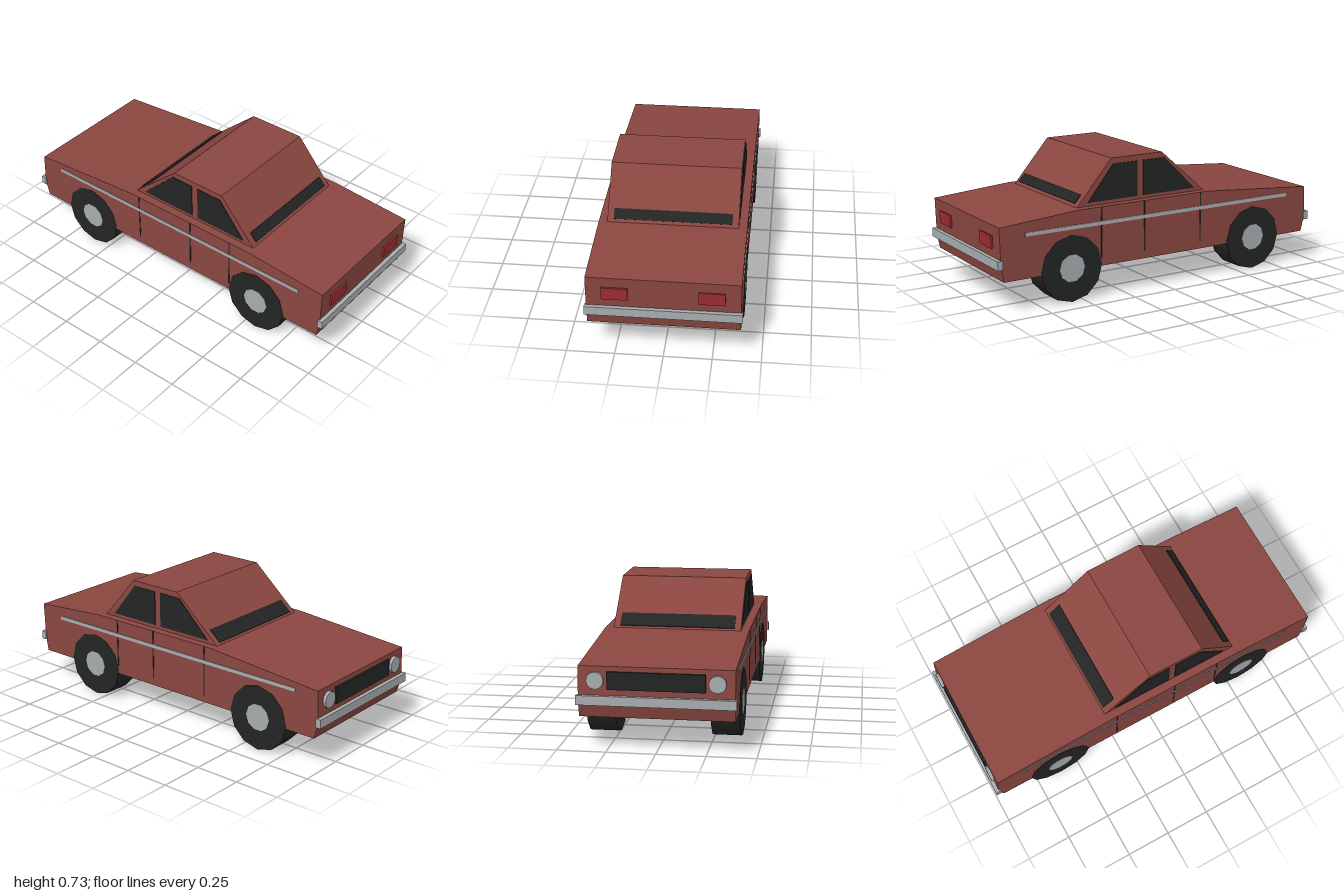
import * as THREE from 'three';

const mat = (name, color) => Object.assign(new THREE.MeshStandardMaterial({ color }), { name });

export function createModel() {
  const paint = mat('red paint', 0x8a4640);
  const dark = mat('black rubber and glass', 0x232424);
  const chrome = mat('chrome', 0xa7acaf);
  const lampRed = mat('red lamp', 0x982c30);

  const car = new THREE.Group();
  car.name = 'car';

  const add = (name, geometry, material, x = 0, y = 0, z = 0) => {
    const mesh = new THREE.Mesh(geometry, material);
    mesh.name = name;
    mesh.position.set(x, y, z);
    car.add(mesh);
    return mesh;
  };
  const box = (name, material, w, h, d, x, y, z) =>
    add(name, new THREE.BoxGeometry(w, h, d), material, x, y, z);

  // Side outline given as [z, y], extruded across the car's width
  const profile = (name, points, width, material, x = 0) => {
    const shape = new THREE.Shape(points.map(([z, y]) => new THREE.Vector2(z, y)));
    const geometry = new THREE.ExtrudeGeometry(shape, { depth: width, bevelEnabled: false });
    geometry.translate(0, 0, -width / 2).rotateY(-Math.PI / 2);
    return add(name, geometry, material, x);
  };

  // Lower body and cabin
  profile('body', [
    [0.963, 0.168], [0.978, 0.25], [0.984, 0.453], [0.53, 0.486],
    [-0.285, 0.486], [-0.973, 0.43], [-0.98, 0.25], [-0.957, 0.168],
  ], 0.782, paint);
  profile('cabin', [[0.515, 0.484], [0.303, 0.727], [-0.015, 0.727], [-0.293, 0.484]], 0.692, paint);

  // Dark strips lying on the two sloping screens
  profile('frontScreenStrip', [[0.504, 0.5], [0.508, 0.503], [0.47, 0.546], [0.466, 0.543]], 0.624, dark);
  profile('backScreenStrip', [[-0.216, 0.551], [-0.219, 0.555], [-0.284, 0.498], [-0.281, 0.494]], 0.624, dark);

  for (const side of [1, -1]) {
    const label = side > 0 ? 'left' : 'right';

    // Side windows, trim and door seams
    profile(label + 'WindowA', [[0.447, 0.505], [0.292, 0.696], [0.142, 0.696], [0.142, 0.505]],
      0.006, dark, side * 0.347);
    profile(label + 'WindowB', [[0.104, 0.505], [0.104, 0.696], [-0.03, 0.696], [-0.228, 0.505]],
      0.006, dark, side * 0.347);
    box(label + 'TrimStrip', chrome, 0.006, 0.02, 1.678, side * 0.392, 0.4, 0.001);
    for (const z of [0.39, 0.123, -0.24])
      box(label + 'DoorSeam', dark, 0.004, 0.278, 0.007, side * 0.391, 0.347, z);

    // Wheels with hubcaps
    for (const z of [0.57, -0.603]) {
      add(label + 'Wheel', new THREE.CylinderGeometry(0.18, 0.18, 0.148, 12), dark,
        side * 0.319, 0.18, z).rotation.z = Math.PI / 2;
      add(label + 'Hubcap', new THREE.CylinderGeometry(0.075, 0.075, 0.01, 10), chrome,
        side * 0.39, 0.183, z).rotation.z = Math.PI / 2;
    }

    // Rectangular red lamps on +z, round lamps on -z
    box(label + 'RedLamp', lampRed, 0.134, 0.068, 0.016, side * 0.245, 0.364, 0.984);
    add(label + 'RoundLamp', new THREE.CylinderGeometry(0.044, 0.044, 0.02, 12), chrome,
      side * 0.304, 0.36, -0.982).rotation.x = Math.PI / 2;
  }

  // Grille and bumpers
  box('grille', dark, 0.49, 0.09, 0.016, 0, 0.36, -0.98);
  box('frontBumper', chrome, 0.8, 0.048, 0.03, 0, 0.26, 0.985);
  box('backBumper', chrome, 0.8, 0.048, 0.03, 0, 0.26, -0.985);

  return car;
}
